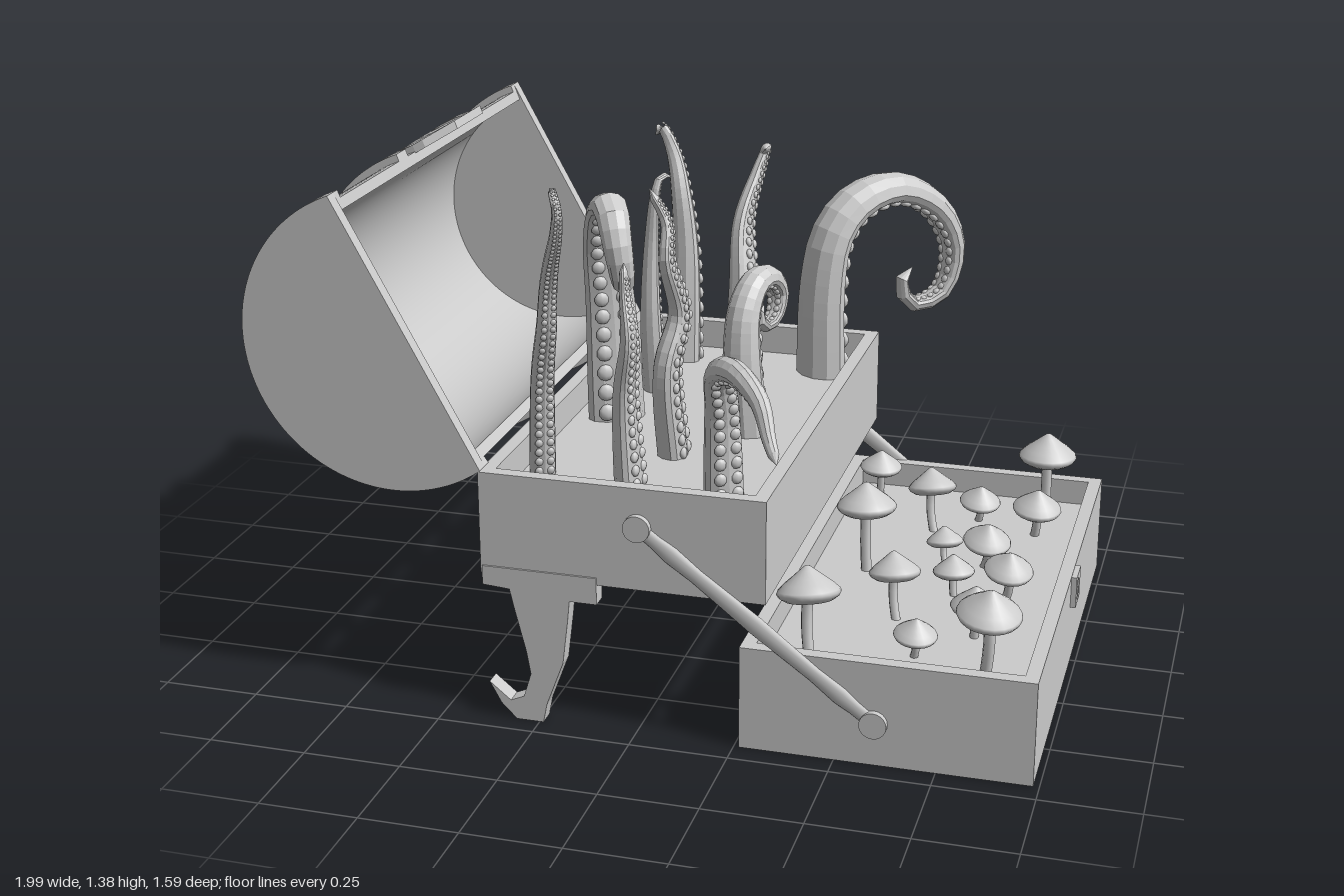
import * as THREE from 'three';
import { mergeGeometries, toCreasedNormals } from 'three/addons/utils/BufferGeometryUtils.js';

const MID_Z = 0.03, HALF_Z = 0.66, WALL = 0.035;
const smooth = new THREE.MeshStandardMaterial({ color: 0xcccccc });
const faceted = new THREE.MeshStandardMaterial({ color: 0xcccccc, flatShading: true });
const V = (x, y, z) => new THREE.Vector3(x, y, z);

function add(parent, name, geometry, material = smooth) {
  const mesh = new THREE.Mesh(geometry, material);
  mesh.name = name;
  parent.add(mesh);
  return mesh;
}
const polygon = pts => new THREE.Shape(pts.map(p => new THREE.Vector2(...p)));
const extrude = (shape, depth) =>
  new THREE.ExtrudeGeometry(shape, { depth, bevelEnabled: false, curveSegments: 40 });

// Keyhole opening: round top with a flared slot along (dx, dy)
function keyhole(x, y, r, dx, dy) {
  const path = new THREE.Path(), a = Math.atan2(dy, dx);
  path.absarc(x, y, r, a + 0.5, a + 2 * Math.PI - 0.5);
  for (const s of [0.8, -0.8]) path.lineTo(x + r * (dx * 3 + s * dy), y + r * (dy * 3 - s * dx));
  path.closePath();
  return path;
}

// Open tray: solid base with a raised rim
function tray(parent, name, x0, x1, y0, y1, floor) {
  const group = new THREE.Group();
  group.name = name;
  const cx = (x0 + x1) / 2, w = x1 - x0;
  add(group, 'trayBase', new THREE.BoxGeometry(w, floor - y0, HALF_Z * 2)).position.set(cx, (y0 + floor) / 2, MID_Z);
  const rect = (hw, hz) => [[-hw, -hz], [hw, -hz], [hw, hz], [-hw, hz]];
  const shape = polygon(rect(w / 2, HALF_Z));
  shape.holes.push(polygon(rect(w / 2 - WALL, HALF_Z - WALL)));
  const rim = add(group, 'trayRim', extrude(shape, y1 - floor));
  rim.rotation.x = -Math.PI / 2;
  rim.position.set(cx, floor, MID_Z);
  parent.add(group);
}

// Rounded lid standing open, with bands and closed ends
function lid(parent) {
  const group = new THREE.Group();
  group.name = 'lid';
  group.position.set(-0.615, 0.964, 0);
  const a0 = 1.934, a1 = 5.35;
  const slice = (name, inner, outer, z, depth) => {
    const s = new THREE.Shape();
    s.absarc(0, 0, outer, a0, a1, false);
    if (inner) s.absarc(0, 0, inner, a1, a0, true);
    s.closePath();
    add(group, name, toCreasedNormals(extrude(s, depth), 0.5)).position.z = z;
  };
  slice('lidShell', 0.334, 0.362, -0.62, 1.3);
  for (const z of [-0.63, -0.235, 0.21, 0.63]) slice('lidBand', 0.336, 0.381, z, 0.06);
  for (const z of [-0.63, 0.69 - WALL]) slice('lidEnd', 0, 0.378, z, WALL);

  // Cat-head hasp: wraps the lid behind its edge, then sticks out straight
  const half = [[-0.1, 0.05], [-0.165, 0.13], [-0.07, 0.137], [0, 0.14], [0.03, 0.137], [0.115, 0.092]];
  const head = polygon([...half, ...half.map(([u, w]) => [u, -w]).reverse()]);
  for (const s of [-1, 1]) head.holes.push(polygon([[-0.14, 0.12 * s], [-0.08, 0.122 * s], [-0.085, 0.065 * s]]));
  head.holes.push(keyhole(0.03, 0, 0.014, 1, 0));
  const geo = extrude(head, 0.022), p = geo.attributes.position;
  for (let i = 0; i < p.count; i++) {
    const u = p.getX(i), w = p.getY(i), r = 0.358 + p.getZ(i);
    const a = a0 - Math.min(u, 0) / 0.37, out = Math.max(u, 0);
    p.setXYZ(i, Math.cos(a) * r + out * 0.857, Math.sin(a) * r + out * 0.515, 0.023 - w);
  }
  geo.computeVertexNormals();
  add(group, 'hasp', geo);
  parent.add(group);
}

// Curled foot, one at each end of the upper tray
function leg(parent, side) {
  const shape = polygon([[-0.39, 0.41], [-0.39, 0.36], [-0.32, 0.355], [-0.31, 0.31], [-0.28, 0.19], [-0.27, 0.13],
    [-0.29, 0.065], [-0.325, 0.05], [-0.38, 0.095], [-0.35, 0.04], [-0.31, 0], [-0.24, 0], [-0.23, 0.05],
    [-0.185, 0.17], [-0.17, 0.29], [-0.165, 0.34], [-0.095, 0.34], [-0.095, 0.41]]);
  add(parent, 'leg', extrude(shape, 0.045)).position.z = MID_Z + side * 0.6425 - 0.0225;
}

// Swinging arm joining the two trays
function arm(parent, side) {
  const group = new THREE.Group();
  group.name = 'hingeArm';
  const a = V(0.01, 0.555, 0), b = V(0.597, 0.112, 0), len = a.distanceTo(b);
  const profile = [[0, -0.5], [0.018, -0.5], [0.019, -0.42], [0.024, -0.36], [0.02, -0.25], [0.025, 0],
    [0.02, 0.25], [0.024, 0.36], [0.019, 0.42], [0.018, 0.5], [0, 0.5]];
  const bar = add(group, 'armBar', new THREE.LatheGeometry(profile.map(([r, y]) => new THREE.Vector2(r, y * len)), 12));
  bar.position.addVectors(a, b).multiplyScalar(0.5);
  bar.rotation.z = Math.atan2(b.y - a.y, b.x - a.x) - Math.PI / 2;
  bar.scale.z = 0.45;
  for (const p of [a, b]) {
    const knob = add(group, 'armPivot', new THREE.CylinderGeometry(0.034, 0.034, 0.03, 20));
    knob.rotation.x = Math.PI / 2;
    knob.position.copy(p);
  }
  group.position.z = MID_Z + side * 0.661;
  parent.add(group);
}

// Pointed mushroom: x, z, cap radius, top height, lean
function mushroom(parent, x, z, r, top, lean) {
  const group = new THREE.Group();
  group.name = 'mushroom';
  const floor = 0.19, capY = top - r * 0.8;
  const cap = [[0, -0.12], [0.45, -0.24], [0.75, -0.26], [0.93, -0.14], [1, -0.02], [0.96, 0.07],
    [0.75, 0.27], [0.5, 0.46], [0.25, 0.66], [0.08, 0.79], [0, 0.81]];
  const capMesh = add(group, 'mushroomCap', new THREE.LatheGeometry(cap.map(([u, v]) => new THREE.Vector2(u * r, v * r)), 20));
  capMesh.position.set(x, capY, z);
  capMesh.rotation.set(lean, 0, -lean * 0.6);
  const path = new THREE.QuadraticBezierCurve3(V(x - lean * 0.1, floor - 0.02, z - lean * 0.15), V(x + lean * 0.06, (floor + capY) / 2, z), V(x, capY, z));
  add(group, 'mushroomStem', new THREE.TubeGeometry(path, 6, r * 0.18, 8));
  parent.add(group);
}

// Tapering tentacle; suckers face the heading at the base and follow the curl
function tentacle(parent, r0, wide, hx, hz, pts) {
  const group = new THREE.Group();
  group.name = 'tentacle';
  const curve = new THREE.CatmullRomCurve3(pts.map(p => V(...p)));
  const len = curve.getLength(), axis = V(hz, 0, -hx).normalize();
  const frame = t => {
    const T = curve.getTangentAt(t), inner = axis.clone().cross(T).normalize();
    return { p: curve.getPointAt(t), inner, side: inner.clone().cross(T), r: r0 * (1 - 0.77 * Math.pow(t, 1.5)) };
  };
  const rings = 28, sides = 12, pos = [], index = [];
  for (let i = 0; i <= rings; i++) {
    const f = frame(i / rings), r = i === rings ? 0.001 : f.r;
    for (let j = 0; j < sides; j++) {
      const a = (j / sides) * Math.PI * 2, s = Math.sin(a);
      const v = f.p.clone().addScaledVector(f.side, Math.cos(a) * r * wide).addScaledVector(f.inner, s * r * (s > 0 ? 0.6 : 1));
      pos.push(v.x, v.y, v.z);
      if (i < rings) {
        const k = i * sides, b = k + j, c = k + (j + 1) % sides;
        index.push(b, c, c + sides, b, c + sides, b + sides);
      }
    }
  }
  const body = new THREE.BufferGeometry();
  body.setAttribute('position', new THREE.Float32BufferAttribute(pos, 3));
  body.setIndex(index);
  body.computeVertexNormals();
  add(group, 'tentacleArm', body, faceted);

  const suckers = [];
  for (let t = 0.04; t < 0.95;) {
    const f = frame(t), r = f.r * Math.min(wide, 1);
    for (const s of [-1, 1]) {
      const q = new THREE.Quaternion().setFromUnitVectors(V(0, 0, 1), f.inner);
      const p = f.p.clone().addScaledVector(f.inner, f.r * 0.53).addScaledVector(f.side, s * f.r * wide * 0.43);
      suckers.push(new THREE.SphereGeometry(r * 0.34, 8, 5).applyMatrix4(new THREE.Matrix4().compose(p, q, V(1, 1, 0.6))));
    }
    t += (0.8 * r) / len;
  }
  add(group, 'suckers', mergeGeometries(suckers));
  parent.add(group);
}

export function createModel() {
  const model = new THREE.Group();
  model.name = 'tentacleChest';
  tray(model, 'upperTray', -0.395, 0.328, 0.39, 0.655, 0.575);
  tray(model, 'lowerTray', 0.263, 0.985, 0, 0.27, 0.2);
  lid(model);
  for (const side of [-1, 1]) { leg(model, side); arm(model, side); }

  // Lock plate on the lower tray
  const plate = polygon([[-0.04, 0], [0.04, 0], [0.04, 0.085], [-0.04, 0.085]]);
  plate.holes.push(keyhole(0, 0.055, 0.015, 0, -1));
  const lock = add(model, 'lockPlate', extrude(plate, 0.015));
  lock.rotation.y = Math.PI / 2;
  lock.position.set(0.984, 0.183, 0.026);

  const mushrooms = [[0.845, -0.476, 0.08, 0.45], [0.674, -0.39, 0.057, 0.31], [0.55, -0.32, 0.067, 0.375],
    [0.84, -0.33, 0.067, 0.34], [0.364, -0.53, 0.06, 0.33], [0.626, -0.1, 0.05, 0.3], [0.743, -0.075, 0.064, 0.335],
    [0.43, 0, 0.08, 0.445], [0.684, 0.1, 0.055, 0.31], [0.83, 0.128, 0.064, 0.35], [0.56, 0.267, 0.067, 0.375],
    [0.78, 0.342, 0.064, 0.34], [0.658, 0.497, 0.055, 0.31], [0.41, 0.588, 0.08, 0.455], [0.85, 0.594, 0.08, 0.455]];
  mushrooms.forEach((m, i) => mushroom(model, ...m, 0.22 * Math.sin(i * 2.3)));

  // Large arching and curled tentacles
  tentacle(model, 0.074, 1.15, 0.7, -0.72, [[0.2, 0.56, -0.48], [0.2, 0.84, -0.49], [0.22, 0.97, -0.51], [0.27, 1.045, -0.56],
    [0.36, 1.07, -0.645], [0.46, 1, -0.73], [0.505, 0.88, -0.765], [0.48, 0.76, -0.74], [0.41, 0.735, -0.68], [0.385, 0.8, -0.655], [0.41, 0.84, -0.68]]);
  tentacle(model, 0.07, 1.1, 0.5, 0.85, [[-0.25, 0.56, 0.03], [-0.265, 0.9, 0.03], [-0.27, 1.06, 0.055], [-0.25, 1.16, 0.105], [-0.215, 1.185, 0.165],
    [-0.185, 1.11, 0.21], [-0.175, 1.02, 0.2], [-0.19, 0.99, 0.15], [-0.21, 1.03, 0.115], [-0.2, 1.08, 0.135]]);
  tentacle(model, 0.06, 1.05, 0.4, -0.9, [[0.115, 0.56, 0.04], [0.1, 0.8, 0.04], [0.1, 0.9, 0.02], [0.115, 0.96, -0.03], [0.135, 0.96, -0.085],
    [0.15, 0.91, -0.125], [0.145, 0.85, -0.1], [0.13, 0.84, -0.06], [0.12, 0.875, -0.04], [0.13, 0.89, -0.065]]);
  tentacle(model, 0.06, 0.85, 0.6, 0.8, [[0.17, 0.56, 0.48], [0.17, 0.8, 0.5], [0.18, 0.91, 0.555], [0.25, 0.94, 0.64], [0.31, 0.9, 0.69], [0.345, 0.83, 0.74], [0.375, 0.79, 0.785]]);
  // Slender upright tentacles
  tentacle(model, 0.056, 0.6, 0.5, 0.86, [[-0.31, 0.56, 0.46], [-0.285, 0.85, 0.51], [-0.25, 1, 0.57], [-0.235, 1.1, 0.595], [-0.21, 1.18, 0.64],
    [-0.175, 1.27, 0.7], [-0.165, 1.335, 0.72], [-0.18, 1.365, 0.7], [-0.195, 1.36, 0.665], [-0.205, 1.33, 0.65]]);
  tentacle(model, 0.045, 1, 1, 0.2, [[-0.04, 0.56, 0.56], [-0.05, 0.85, 0.57], [-0.03, 1, 0.6], [-0.05, 1.1, 0.57], [-0.06, 1.17, 0.55]]);
  tentacle(model, 0.05, 0.95, 1, 0, [[-0.02, 0.56, 0.25], [-0.03, 0.82, 0.275], [-0.01, 0.95, 0.235], [-0.03, 1.1, 0.28], [-0.04, 1.19, 0.25], [-0.09, 1.27, 0.24]]);
  tentacle(model, 0.038, 1.1, 0.7, -0.7, [[-0.21, 0.56, -0.21], [-0.22, 0.8, -0.2], [-0.22, 1, -0.21], [-0.21, 1.13, -0.21], [-0.2, 1.175, -0.225], [-0.18, 1.17, -0.255]]);
  tentacle(model, 0.058, 1.1, 1, 0.1, [[0, 0.56, -0.37], [-0.01, 0.83, -0.41], [-0.03, 1, -0.48], [-0.01, 1.12, -0.55], [0.005, 1.18, -0.575], [0.01, 1.19, -0.54]]);
  tentacle(model, 0.058, 1.1, 0.8, -0.6, [[-0.21, 0.56, -0.5], [-0.21, 0.9, -0.52], [-0.23, 1.05, -0.54], [-0.27, 1.16, -0.59], [-0.31, 1.22, -0.61], [-0.335, 1.19, -0.625]]);
  return model;
}
